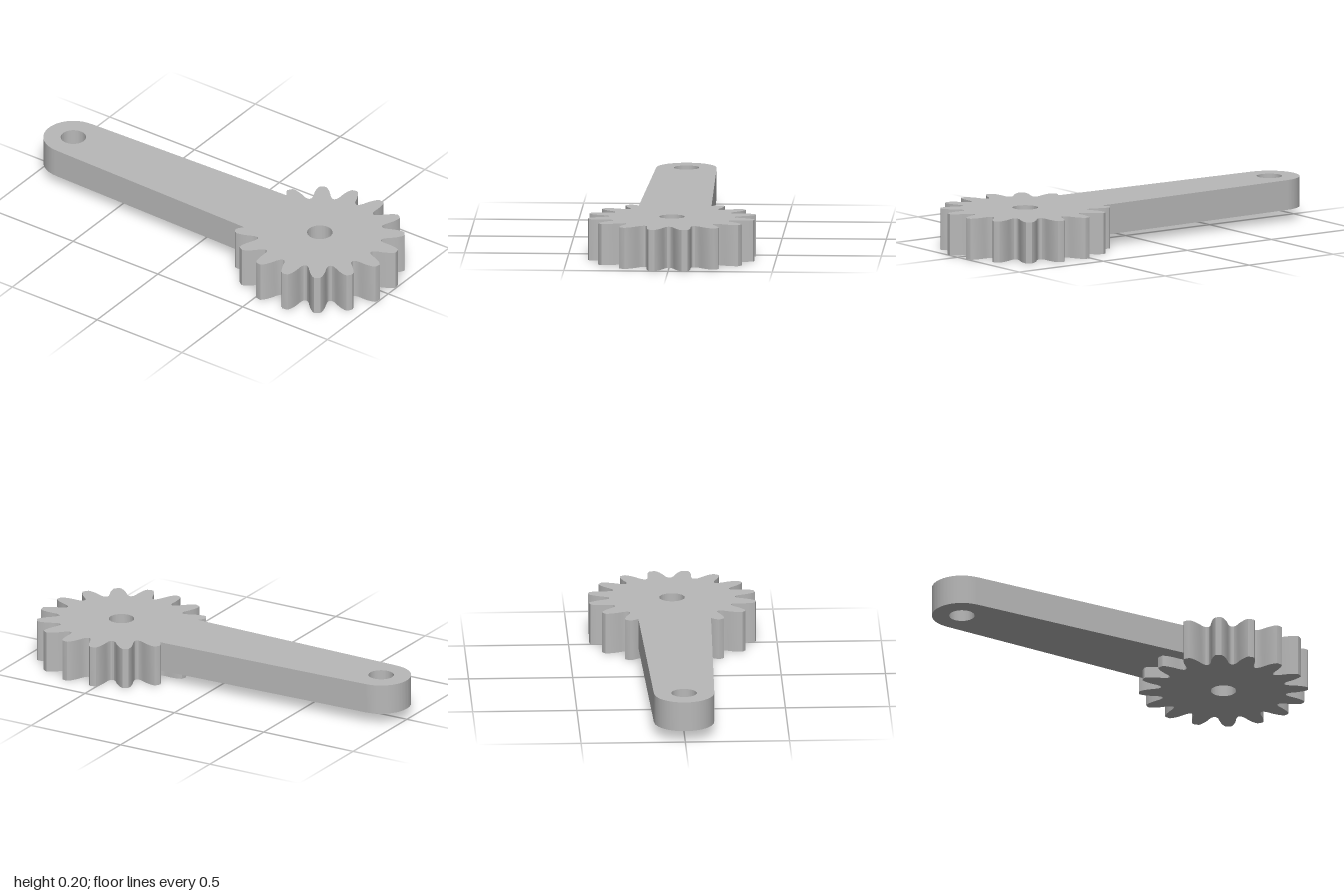
import * as THREE from 'three';
import { toCreasedNormals } from 'three/addons/utils/BufferGeometryUtils.js';

const TEETH = 16;
const GEAR_Z = 0.597, END_Z = -0.856, HOLE_R = 0.061;

// Extrude a plan outline (shape y = -z) upwards from y0 to y1
function plate(name, shape, y0, y1, material) {
  const geo = new THREE.ExtrudeGeometry(shape, { depth: y1 - y0, bevelEnabled: false, curveSegments: 32 });
  geo.rotateX(-Math.PI / 2).translate(0, y0, 0);
  const mesh = new THREE.Mesh(toCreasedNormals(geo, 0.5), material);
  mesh.name = name;
  return mesh;
}

function addHole(shape, z) {
  const hole = new THREE.Path();
  hole.absarc(0, -z, HOLE_R, 0, Math.PI * 2, true);
  shape.holes.push(hole);
}

// Gear outline: half a tooth space (degrees from the valley, radius), mirrored about the tooth
function gearShape() {
  const half = [[0, 0.301], [1.6, 0.304], [3, 0.314], [4, 0.328], [4.8, 0.345],
    [5.7, 0.362], [6.7, 0.378], [7.8, 0.393], [9.1, 0.405]];
  const pitch = 360 / TEETH;
  const profile = [...half, [pitch / 2, 0.4065],
    ...half.slice(1).reverse().map(([a, r]) => [pitch - a, r])];
  const points = [];
  for (let i = 0; i < TEETH; i++) {
    for (const [a, r] of profile) {
      const t = THREE.MathUtils.degToRad(i * pitch + a);
      points.push(new THREE.Vector2(r * Math.cos(t), r * Math.sin(t) - GEAR_Z));
    }
  }
  const shape = new THREE.Shape(points);
  addHole(shape, GEAR_Z);
  return shape;
}

// Tapered arm with a rounded far end, its wide end buried in the gear
function armShape() {
  const shape = new THREE.Shape();
  shape.moveTo(-0.179, -0.46);
  shape.lineTo(0.179, -0.46);
  shape.lineTo(0.145, -END_Z);
  shape.absarc(0, -END_Z, 0.144, 0, Math.PI, false);
  shape.lineTo(-0.145, -END_Z);
  shape.closePath();
  addHole(shape, END_Z);
  return shape;
}

export function createModel() {
  const group = new THREE.Group();
  group.name = 'gearLever';
  const grey = new THREE.MeshStandardMaterial({ color: 0xb8b8b8 });
  grey.name = 'grey metal';
  group.add(plate('gear', gearShape(), 0, 0.2, grey));
  group.add(plate('arm', armShape(), 0.055, 0.2, grey));
  return group;
}
